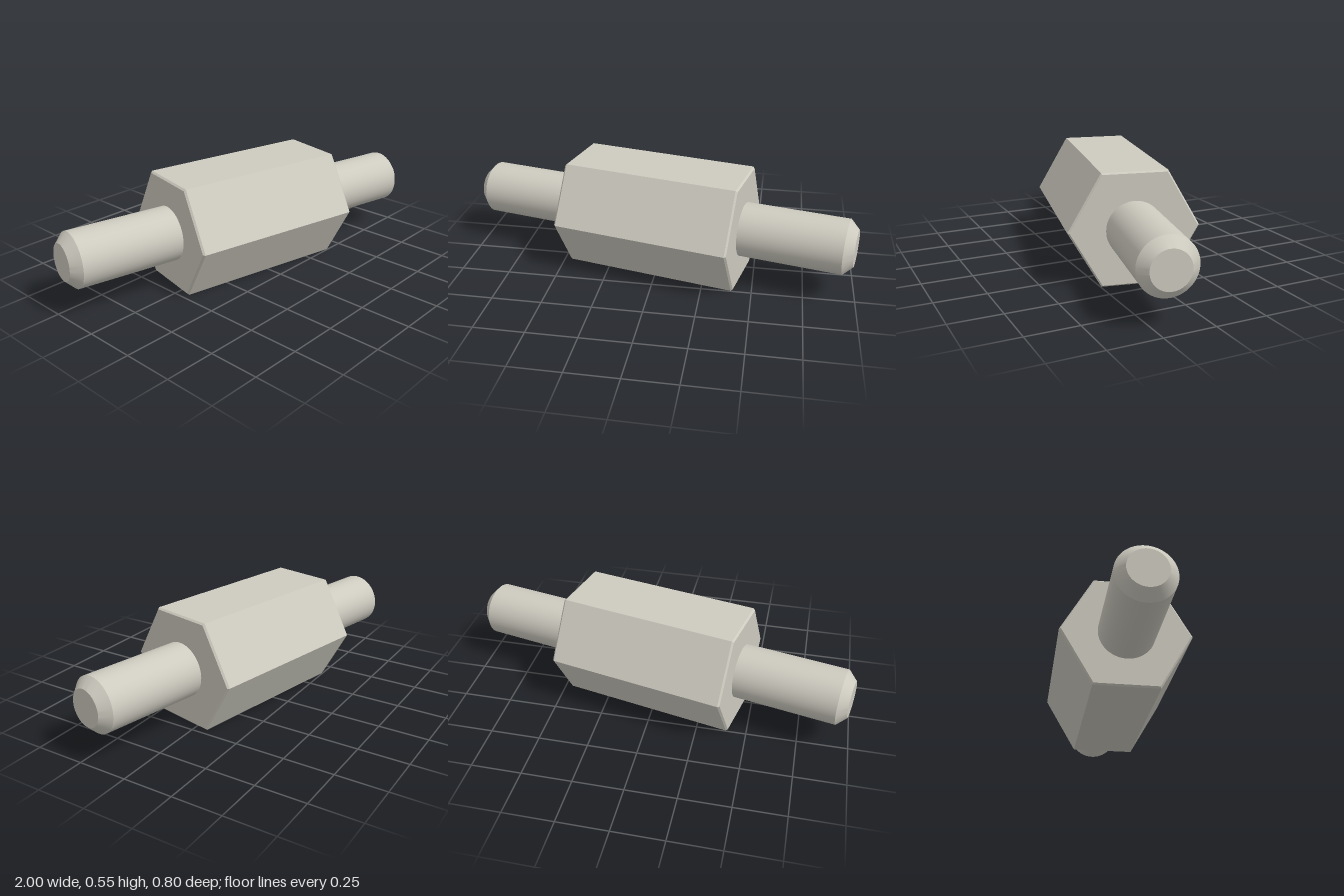
import * as THREE from 'three';
import { toCreasedNormals } from 'three/addons/utils/BufferGeometryUtils.js';

const TILT = THREE.MathUtils.degToRad(12);
const HEX_R = 0.3152, HEX_HALF = 0.45, HEX_CHAMFER = 0.009;
const STUD_R = 0.136, STUD_END = 1.003, STUD_CHAMFER = 0.0455;

// Turned solid from [radius, position] pairs, laid along the x axis with sharp edges kept
function turned(profile, sides) {
  const points = profile.map(([r, a]) => new THREE.Vector2(r, a));
  const geometry = toCreasedNormals(new THREE.LatheGeometry(points, sides), 0.5);
  geometry.rotateZ(-Math.PI / 2);
  return geometry;
}

export function createModel() {
  const metal = new THREE.MeshStandardMaterial({ color: 0xcdcabf });
  metal.name = 'warm grey metal';

  const model = new THREE.Group();
  model.name = 'hexStandoff';

  // Whole part lies flat, turned about the vertical axis
  const body = new THREE.Group();
  body.name = 'standoffBody';
  body.position.y = HEX_R * Math.cos(Math.PI / 6);
  body.rotation.y = -TILT;
  model.add(body);

  // Six-sided spacer with fine chamfers at both ends
  const inner = HEX_R - HEX_CHAMFER, edge = HEX_HALF - HEX_CHAMFER;
  const hex = new THREE.Mesh(turned([
    [0, -HEX_HALF], [inner, -HEX_HALF], [HEX_R, -edge],
    [HEX_R, edge], [inner, HEX_HALF], [0, HEX_HALF],
  ], 6), metal);
  hex.name = 'hexSpacer';
  body.add(hex);

  // Round studs with chamfered tips
  const studGeometry = turned([
    [STUD_R, HEX_HALF - 0.01], [STUD_R, STUD_END - STUD_CHAMFER],
    [STUD_R - STUD_CHAMFER, STUD_END], [0, STUD_END],
  ], 64);
  for (const [name, turn] of [['leftStud', 0], ['rightStud', Math.PI]]) {
    const stud = new THREE.Mesh(studGeometry, metal);
    stud.name = name;
    stud.rotation.y = turn;
    body.add(stud);
  }

  return model;
}
